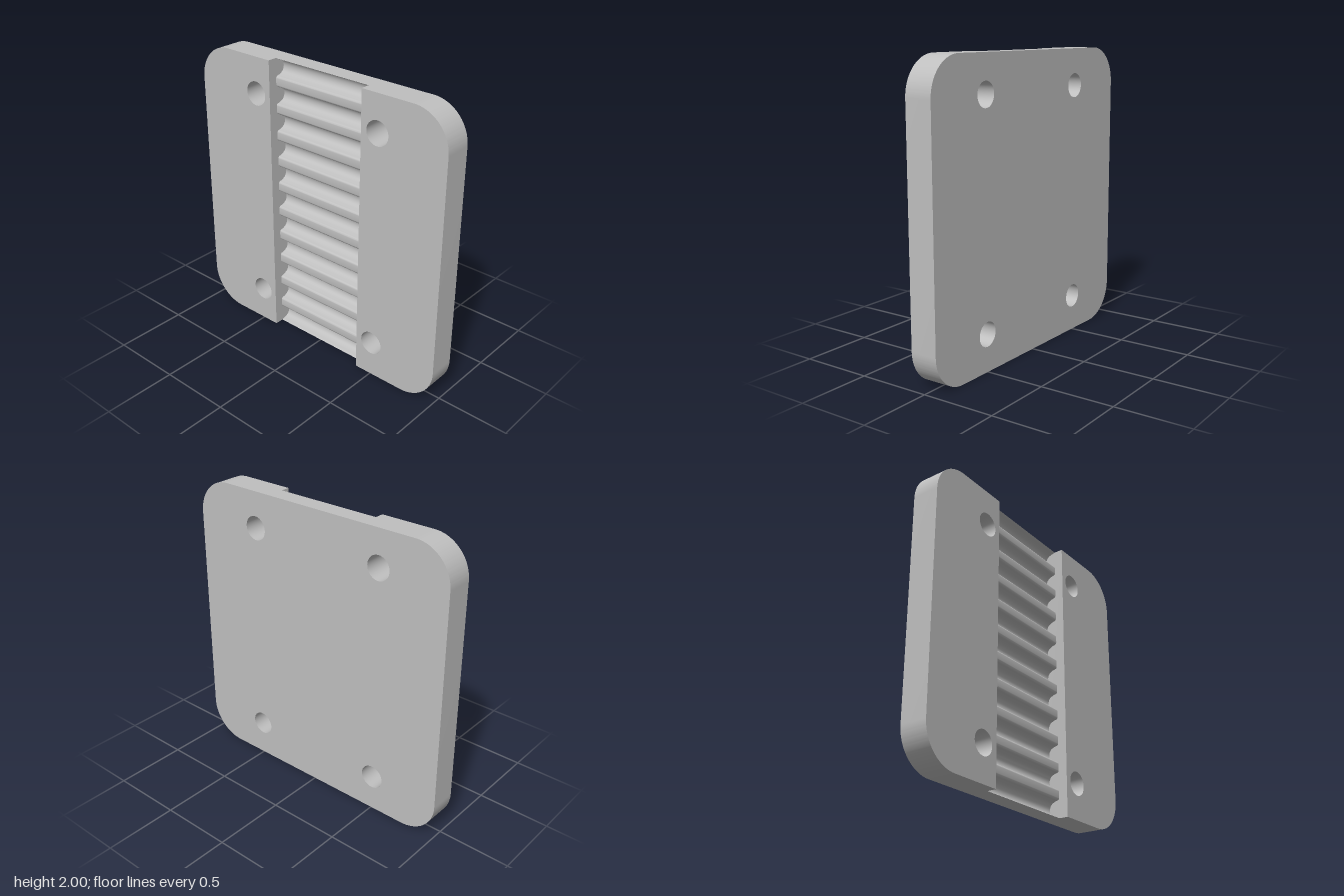
import * as THREE from 'three';
import { toCreasedNormals } from 'three/addons/utils/BufferGeometryUtils.js';

const HALF_T = 0.09375;   // half thickness of the plate
const CHANNEL = 0.377;    // half width of the belt channel
const FLOOR = -0.031;     // x of the channel floor (tips of the ridges)
const PITCH = 0.1875;     // spacing of the belt grooves
const TEETH = 11;
const CORNER = 0.25;

// Half outline of one groove: [half width, depth], from lip to bottom
const GROOVE = [
  [0.0722, 0], [0.0666, 0.001], [0.0618, 0.0039], [0.0583, 0.0082], [0.0565, 0.0136],
  [0.054, 0.0255], [0.05, 0.037], [0.0446, 0.0478], [0.0378, 0.0579],
  [0.0294, 0.0645], [0.02, 0.0693], [0.0102, 0.0721], [0, 0.073],
];

// Side part of the plate with rounded outer corners and two screw holes
function flankGeometry() {
  const s = new THREE.Shape();
  s.moveTo(CHANNEL, 0);
  s.lineTo(1 - CORNER, 0);
  s.absarc(1 - CORNER, CORNER, CORNER, -Math.PI / 2, 0, false);
  s.lineTo(1, 2 - CORNER);
  s.absarc(1 - CORNER, 2 - CORNER, CORNER, 0, Math.PI / 2, false);
  s.lineTo(CHANNEL, 2);
  s.closePath();
  for (const y of [0.25, 1.75]) {
    s.holes.push(new THREE.Path().absarc(0.5, y, 0.082, 0, Math.PI * 2, true));
  }
  const g = new THREE.ExtrudeGeometry(s, { depth: 2 * HALF_T, bevelEnabled: false, curveSegments: 24 });
  g.translate(0, 0, -HALF_T);
  g.rotateY(Math.PI / 2);
  return toCreasedNormals(g, 0.5);
}

// Grooved web between the flanks, its profile extruded along z
function webGeometry() {
  const pts = [new THREE.Vector2(HALF_T, 0), new THREE.Vector2(HALF_T, 2)];
  const outline = [
    ...GROOVE.map(([w, d]) => [w, d]),
    ...GROOVE.slice(0, -1).reverse().map(([w, d]) => [-w, d]),
  ];
  pts.push(new THREE.Vector2(FLOOR, 2));
  for (let i = TEETH - 1; i >= 0; i--) {
    const centre = 1 + (i - (TEETH - 1) / 2) * PITCH;
    for (const [w, d] of outline) {
      const y = centre + w;
      if (y > 0.001 && y < 1.999) pts.push(new THREE.Vector2(FLOOR + d, y));
    }
  }
  pts.push(new THREE.Vector2(FLOOR, 0));
  const g = new THREE.ExtrudeGeometry(new THREE.Shape(pts), { depth: 2 * CHANNEL, bevelEnabled: false });
  g.translate(0, 0, -CHANNEL);
  return toCreasedNormals(g, 0.5);
}

export function createModel() {
  const model = new THREE.Group();
  model.name = 'beltClampPlate';
  const grey = new THREE.MeshStandardMaterial({ color: 0xbfbfbf });
  grey.name = 'plain grey';

  // Two flanks, the second turned half round
  const geometry = flankGeometry();
  ['backFlank', 'frontFlank'].forEach((name, i) => {
    const flank = new THREE.Mesh(geometry, grey);
    flank.name = name;
    flank.rotation.y = i * Math.PI;
    model.add(flank);
  });

  const web = new THREE.Mesh(webGeometry(), grey);
  web.name = 'groovedBeltChannel';
  model.add(web);
  return model;
}
